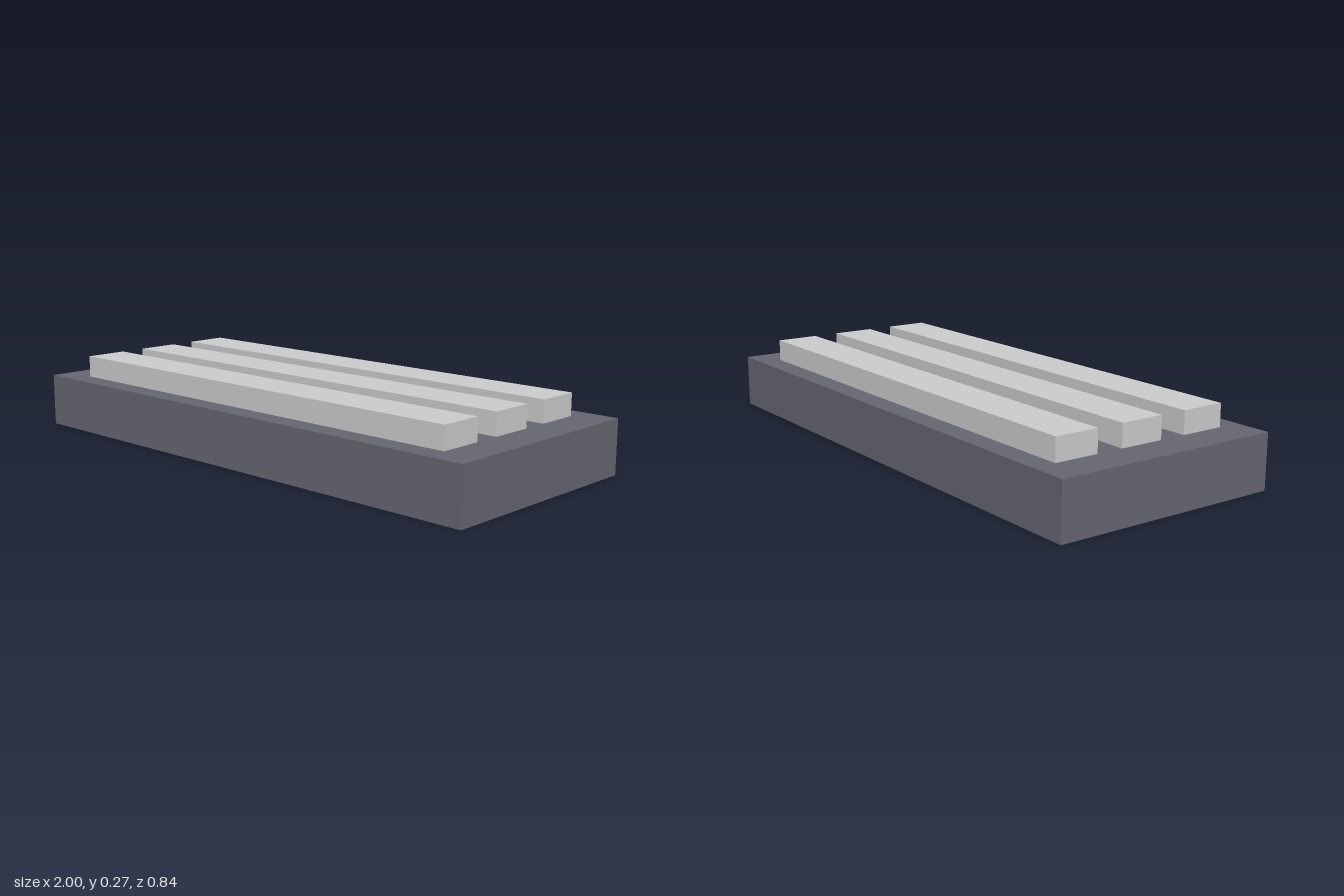
import * as THREE from 'three';

const BASE_HEIGHT = 0.194;
const BAR_HEIGHT = 0.08;

function box(name, width, height, depth, material, bottom, z) {
  const mesh = new THREE.Mesh(new THREE.BoxGeometry(width, height, depth), material);
  mesh.name = name;
  mesh.position.set(0, bottom + height / 2, z);
  return mesh;
}

export function createModel() {
  const model = new THREE.Group();
  model.name = 'barPlatform';
  const dark = new THREE.MeshStandardMaterial({ color: 0x666670 });
  const grey = new THREE.MeshStandardMaterial({ color: 0xcccccc });

  // Solid dark slab
  model.add(box('base', 2, BASE_HEIGHT, 0.839, dark, 0, 0));

  // Three parallel bars lying along the slab
  const bars = { backBar: -0.258, middleBar: 0, frontBar: 0.258 };
  for (const [name, z] of Object.entries(bars)) {
    model.add(box(name, 1.742, BAR_HEIGHT, 0.161, grey, BASE_HEIGHT, z));
  }
  return model;
}
